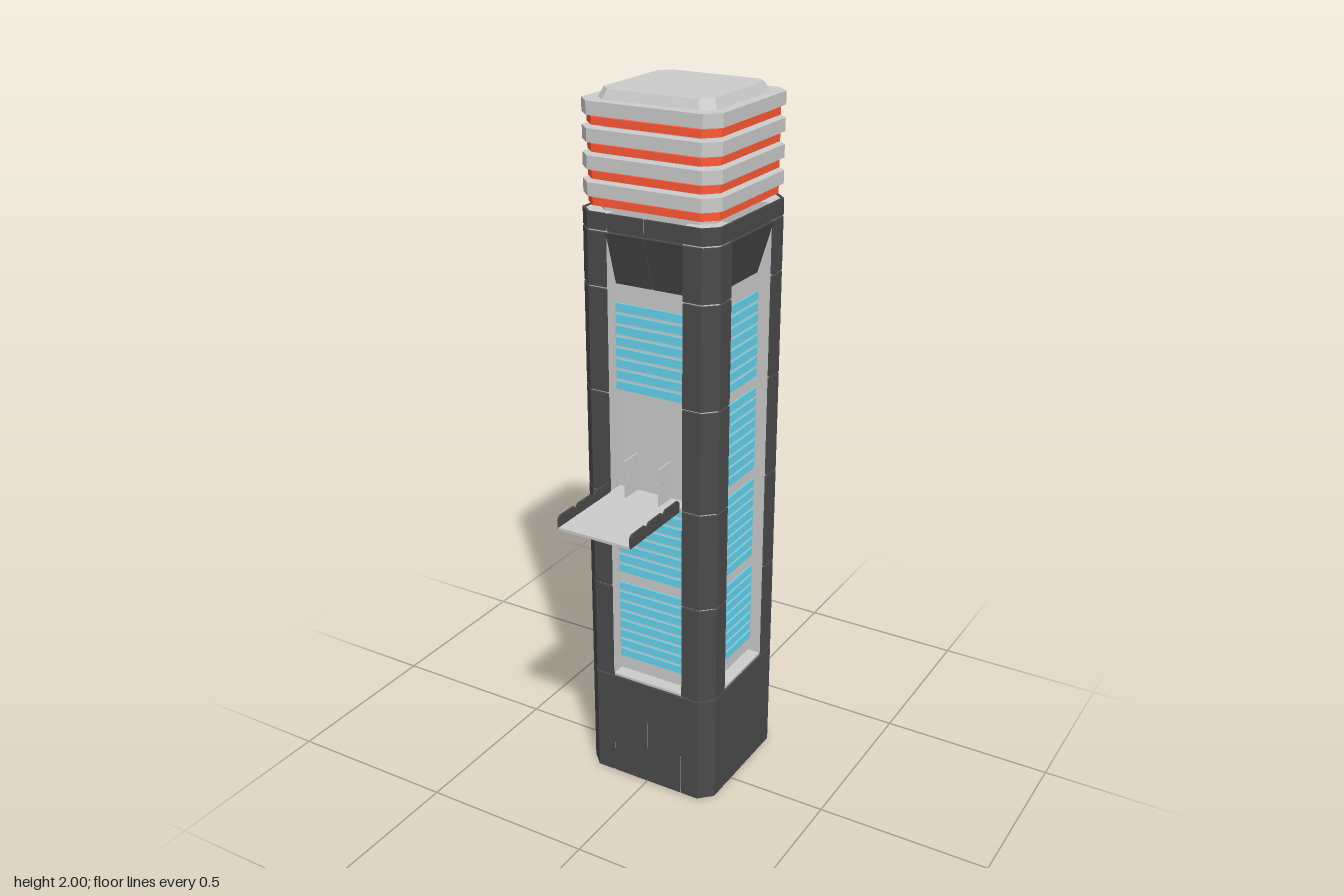
import * as THREE from 'three';

const mat = (color) => new THREE.MeshStandardMaterial({ color, flatShading: true });
const grey = mat(0xcccccc), dark = mat(0x4a4a4a), blue = mat(0x66d4ee), orange = mat(0xff5a36);

const HALF = 0.205;    // half width of the tower
const RECESS = 0.16;   // distance from the axis to the recessed walls
const BAY = 0.112;     // half width of a recessed bay
const CUT = 0.037;     // corner chamfer
const SKIN = 0.007;    // thickness of the dark cladding
const GAP = 0.005;     // seam between cladding panels

function add(parent, name, geometry, material, x = 0, y = 0, z = 0) {
  const mesh = new THREE.Mesh(geometry, material);
  mesh.name = name;
  mesh.position.set(x, y, z);
  parent.add(mesh);
  return mesh;
}

// Box given by its minimum and maximum corners
function block(parent, name, material, [x0, y0, z0], [x1, y1, z1]) {
  return add(parent, name, new THREE.BoxGeometry(x1 - x0, y1 - y0, z1 - z0), material,
    (x0 + x1) / 2, (y0 + y1) / 2, (z0 + z1) / 2);
}

// Square outline with cut corners
function octagon(h, c) {
  return [[h, -h + c], [h, h - c], [h - c, h], [-h + c, h],
    [-h, h - c], [-h, -h + c], [-h + c, -h], [h - c, -h]];
}

// Upright prism over a plan outline
function prism(points, y0, y1) {
  const shape = new THREE.Shape(points.map(([x, y]) => new THREE.Vector2(x, y)));
  const g = new THREE.ExtrudeGeometry(shape, { depth: y1 - y0, bevelEnabled: false });
  return g.rotateX(-Math.PI / 2).translate(0, y0, 0);
}

// Side profile given as (z, y), extruded across x
function profile(points, x0, x1) {
  const shape = new THREE.Shape(points.map(([z, y]) => new THREE.Vector2(-z, y)));
  const g = new THREE.ExtrudeGeometry(shape, { depth: x1 - x0, bevelEnabled: false });
  return g.rotateY(Math.PI / 2).translate(x0, 0, 0);
}

const levels = [0, 0.33, 0.625, 0.915, 1.21, 1.5, 1.65, 1.7];

// One side of the tower, facing +z, with the corner on its +x end
function buildSide(k) {
  const side = new THREE.Group();
  side.name = 'towerSide';
  side.rotation.y = k * Math.PI / 2;
  const isFront = k === 0, isBack = k === 2;

  // Corner column behind the cladding
  const inner = HALF - SKIN;
  add(side, 'cornerColumn', prism([[BAY, -0.15], [0.15, -BAY], [inner, -BAY],
    [inner, -HALF + CUT], [HALF - CUT, -inner], [BAY, -inner]], 0.335, 1.695), grey);

  // Cladding, level by level
  for (let i = 0; i < levels.length - 1; i++) {
    const y0 = levels[i] + (i ? GAP / 2 : 0), y1 = levels[i + 1] - GAP / 2;
    const z0 = HALF - SKIN, flat = HALF - CUT;
    for (const s of [-1, 1]) {
      const xs = [s * (BAY + GAP / 2), s * flat].sort((a, b) => a - b);
      block(side, 'columnPanel', dark, [xs[0], y0, z0], [xs[1], y1, HALF]);
      if (i === 6 || (i === 0 && !isBack)) {
        const m = [s * GAP / 2, s * (BAY - GAP / 2)].sort((a, b) => a - b);
        block(side, 'middlePanel', dark, [m[0], y0, z0], [m[1], y1, HALF]);
      }
      if (i === 5) {
        const m = [s * 0.001, s * BAY].sort((a, b) => a - b);
        add(side, 'slopedHood', profile([[RECESS - 0.01, y0], [RECESS, y0], [HALF, y1], [RECESS - 0.01, y1]],
          m[0], m[1]), dark);
      }
    }
    const mid = HALF - CUT / 2 - SKIN * 0.354;
    const corner = add(side, 'cornerPanel', new THREE.BoxGeometry(CUT * Math.SQRT2, y1 - y0, SKIN), dark,
      mid, (y0 + y1) / 2, mid);
    corner.rotation.y = Math.PI / 4;
  }

  // Ledge under the bay
  block(side, 'baySill', grey, [-BAY, 0.325, 0.14], [BAY, 0.335, HALF - SKIN]);

  // Four groups of window strips; the front leaves one out for the doorway
  for (let group = 0; group < 4; group++) {
    if (isFront && group === 2) continue;
    for (let j = 0; j < 8; j++) {
      const y = 0.378 + group * 0.277 + j * 0.0313;
      block(side, 'windowStrip', blue, [-BAY, y, RECESS - 0.005], [BAY, y + 0.023, RECESS + 0.005]);
    }
  }
  return side;
}

// Landing platform with three-part rails and open doors
function buildLanding() {
  const g = new THREE.Group();
  g.name = 'landing';
  block(g, 'platformFloor', grey, [-0.109, 0.915, 0.09], [0.109, 0.923, 0.393]);
  for (const s of [-1, 1]) {
    for (let i = 0; i < 3; i++) {
      const a = 0.147 + i * 0.083, b = a + 0.078;
      const x = s * 0.1095;
      add(g, 'platformRail', profile([[a, 0.917], [b, 0.917], [b, 0.946], [b - 0.008, 0.954],
        [a + 0.008, 0.954], [a, 0.946]], x - 0.0025, x + 0.0025), dark);
    }
    const x = s * 0.053;
    block(g, 'doorLeaf', grey, [x - 0.002, 0.923, 0.09], [x + 0.002, 1.032, 0.156]);
    block(g, 'doorHandle', grey, [s * 0.048 - 0.004, 0.965, 0.148], [s * 0.048 + 0.004, 0.985, 0.152]);
  }
  return g;
}

// Rear entrance: block outside, dark niche and tapered neck behind it
function buildRearEntrance() {
  const g = new THREE.Group();
  g.name = 'rearEntrance';
  block(g, 'entranceBlock', grey, [-0.11, 0, -0.395], [0.11, 0.212, -0.225]);
  block(g, 'nicheWall', dark, [-BAY, 0.212, -0.227], [BAY, 0.325, -0.22]);
  const neck = new THREE.Shape([[-0.075, 0.21], [0.075, 0.21], [0.04, 0.25], [0.04, 0.29], [-0.04, 0.29],
    [-0.04, 0.25]].map(([x, y]) => new THREE.Vector2(x, y)));
  add(g, 'entranceNeck', new THREE.ExtrudeGeometry(neck, { depth: 0.03, bevelEnabled: false }), grey, 0, 0, -0.255);
  for (const s of [-1, 1]) {
    block(g, 'nicheJamb', dark, [s * 0.109 - 0.003, 0.212, -0.268], [s * 0.109 + 0.003, 0.325, -0.225]);
  }
  return g;
}

// Stacked crown: grey slabs, orange bands and a bevelled roof
function buildCrown() {
  const g = new THREE.Group();
  g.name = 'crown';
  add(g, 'crownCore', prism(octagon(0.168, 0.03), 1.69, 1.95), grey);
  for (let i = 0; i < 4; i++) {
    const y = 1.711 + i * 0.068;
    add(g, 'orangeBand', prism(octagon(0.193, 0.035), y, y + 0.02), orange);
    add(g, 'greySlab', prism(octagon(0.203, CUT), y + 0.025, y + 0.06), grey);
  }
  // Roof prism tapered at the top
  const roof = prism(octagon(0.175, 0.032), 1.965, 2);
  const p = roof.attributes.position;
  for (let i = 0; i < p.count; i++) {
    if (p.getY(i) > 1.99) p.setXYZ(i, p.getX(i) * 0.905, 2, p.getZ(i) * 0.905);
  }
  roof.computeVertexNormals();
  add(g, 'roof', roof, grey);
  return g;
}

export function createModel() {
  const model = new THREE.Group();
  model.name = 'tower';
  const shaft = new THREE.Group();
  shaft.name = 'shaft';
  shaft.position.z = -0.067;
  block(shaft, 'core', grey, [-RECESS, 0.33, -RECESS], [RECESS, 1.695, RECESS]);
  for (let k = 0; k < 4; k++) shaft.add(buildSide(k));
  shaft.add(buildCrown());
  model.add(shaft, buildLanding(), buildRearEntrance());
  return model;
}
